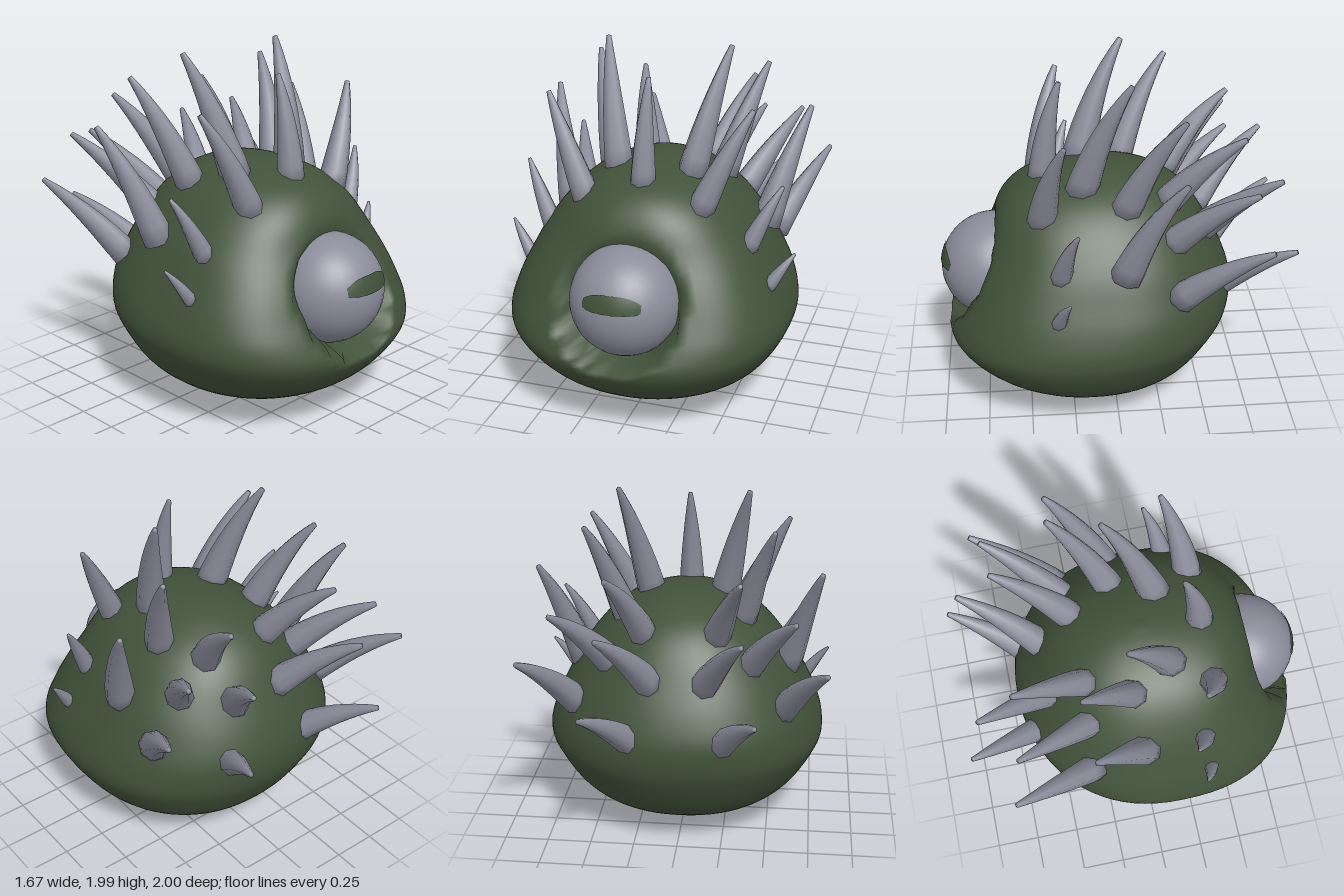
import * as THREE from 'three';
import { mergeVertices } from 'three/addons/utils/BufferGeometryUtils.js';

const green = new THREE.MeshStandardMaterial({ color: 0x42523a });
green.name = 'mossGreen';
const grey = new THREE.MeshStandardMaterial({ color: 0x8b8d9b });
grey.name = 'slateGrey';

const EYE = new THREE.Vector3(0, 0.757, 0.688);
const EYE_R = 0.308;

function part(name, geometry, material) {
  const mesh = new THREE.Mesh(geometry, material);
  mesh.name = name;
  return mesh;
}

// Body: stacked rounded rings, each [height, half width, front z, back z, front squareness]
function bodyGeometry() {
  const profile = [
    [0.005, 0, 0.17, 0.17, 2], [0.03, 0.19, 0.36, -0.05, 2], [0.08, 0.38, 0.54, -0.24, 2],
    [0.16, 0.55, 0.71, -0.41, 2.05], [0.27, 0.68, 0.86, -0.53, 2.15],
    [0.43, 0.78, 0.965, -0.63, 2.35], [0.55, 0.81, 0.93, -0.68, 2.6],
    [0.7, 0.77, 0.85, -0.69, 2.8], [0.85, 0.7, 0.78, -0.64, 2.8], [1.0, 0.62, 0.71, -0.56, 2.6],
    [1.16, 0.5, 0.65, -0.46, 2.4], [1.27, 0.38, 0.56, -0.35, 2.2], [1.34, 0.25, 0.42, -0.22, 2],
    [1.38, 0.12, 0.23, -0.09, 2], [1.395, 0, 0.06, 0.06, 2],
  ];
  const spline = (col) => new THREE.CatmullRomCurve3(
    profile.map((p) => new THREE.Vector3(p[0], p[1], p[col])), false, 'catmullrom', 0.5);
  const front = spline(2), back = spline(3), square = spline(4);
  const rings = 56, sides = 80;
  const pos = [], index = [];
  for (let i = 0; i <= rings; i++) {
    const f = front.getPoint(i / rings), b = back.getPoint(i / rings);
    const y = f.x, w = Math.max(0, f.y), mid = (f.z + b.z) / 2, depth = (f.z - b.z) / 2;
    const frontPower = 2 / square.getPoint(i / rings).z;
    for (let j = 0; j < sides; j++) {
      const a = (j / sides) * Math.PI * 2, c = Math.cos(a), s = Math.sin(a);
      const power = s > 0 ? frontPower : 2 / 2.15;
      const x = w * Math.sign(c) * Math.abs(c) ** power;
      let z = mid + depth * Math.sign(s) * Math.abs(s) ** power;
      // Eye socket pressed into the face
      if (z > 0.3) {
        const keep = THREE.MathUtils.smoothstep(Math.hypot(x, y - 0.77), 0.28, 0.345);
        z = THREE.MathUtils.lerp(Math.min(z, 0.66), z, keep);
      }
      pos.push(x, y, z);
      if (i < rings) {
        const k = (j + 1) % sides, r = i * sides, u = r + sides;
        index.push(r + j, u + j, r + k, r + k, u + j, u + k);
      }
    }
  }
  let g = new THREE.BufferGeometry();
  g.setAttribute('position', new THREE.Float32BufferAttribute(pos, 3));
  g.setIndex(index);
  g = mergeVertices(g, 1e-4);
  g.computeVertexNormals();
  return g;
}

// Pupil: a thin patch wrapped onto the front of the eye
function pupilGeometry() {
  const g = new THREE.PlaneGeometry(2, 1, 20, 6), p = g.attributes.position;
  for (let i = 0; i < p.count; i++) {
    const u = p.getX(i), v = p.getY(i) + 0.5;
    const x = 0.011 + u * 0.158, low = 0.805 + 0.01 * u ** 8, high = 0.902 - 0.045 * Math.abs(u) ** 3;
    const y = THREE.MathUtils.lerp(low, high, v);
    const r = EYE_R + 0.005;
    p.setXYZ(i, x, y, EYE.z + Math.sqrt(r * r - x * x - (y - EYE.y) ** 2));
  }
  g.computeVertexNormals();
  return g;
}

// Spike: a tapered cylinder bent along a curve from base to tip
function spikeGeometry(base, tip, radius) {
  const b = new THREE.Vector3(...base), t = new THREE.Vector3(...tip);
  const dir = t.clone().sub(b);
  const bow = dir.length() * 0.06;
  const control = b.clone().lerp(t, 0.5).add(new THREE.Vector3(0, bow, bow));
  b.addScaledVector(dir.clone().normalize(), -0.045);
  const curve = new THREE.QuadraticBezierCurve3(b, control, t);
  const up = new THREE.Vector3(0, 1, 0), q = new THREE.Quaternion();
  let g = new THREE.CylinderGeometry(1, 1, 1, 8, 8);
  g.deleteAttribute('uv');
  g.deleteAttribute('normal');
  g = mergeVertices(g);
  const p = g.attributes.position, v = new THREE.Vector3();
  for (let i = 0; i < p.count; i++) {
    const s = p.getY(i) + 0.5;
    const r = radius * (1 - 0.83 * s ** 1.25);
    q.setFromUnitVectors(up, curve.getTangent(s));
    v.set(p.getX(i) * r, 0, p.getZ(i) * r * 1.1).applyQuaternion(q).add(curve.getPoint(s));
    p.setXYZ(i, v.x, v.y, v.z);
  }
  g.computeVertexNormals();
  return g;
}

export function createModel() {
  const model = new THREE.Group();
  model.name = 'spikyCreature';
  model.add(part('body', bodyGeometry(), green));

  const eye = part('eye', new THREE.SphereGeometry(EYE_R, 32, 24), grey);
  eye.position.copy(EYE);
  model.add(eye, part('pupil', pupilGeometry(), green));

  // Spikes on the left side: base, tip, base radius; mirrored to the right
  const spikes = [
    [[0.34, 1.23, 0.4], [0.58, 1.75, 0.29], 0.078],
    [[0.59, 1.01, 0.31], [0.74, 1.32, 0.23], 0.056],
    [[0.72, 0.8, 0.33], [0.83, 0.96, 0.28], 0.04],
    [[0.22, 1.35, 0.17], [0.36, 1.99, -0.08], 0.086],
    [[0.34, 1.28, -0.07], [0.51, 1.84, -0.35], 0.083],
    [[0.6, 1.02, -0.05], [0.77, 1.61, -0.33], 0.086],
    [[0.21, 1.25, -0.32], [0.35, 1.66, -0.7], 0.082],
    [[0.4, 1.08, -0.33], [0.64, 1.47, -0.73], 0.082],
    [[0.6, 0.85, -0.36], [0.81, 1.22, -0.79], 0.08],
    [[0.16, 1.03, -0.51], [0.37, 1.41, -0.91], 0.082],
    [[0.26, 0.72, -0.61], [0.45, 1.01, -1.0], 0.076],
  ];
  const group = new THREE.Group();
  group.name = 'spikes';
  group.add(part('centreSpike', spikeGeometry([0, 1.34, 0.39], [0, 1.88, 0.29], 0.074), grey));
  spikes.forEach(([b, t, r], i) => {
    for (const side of [1, -1]) {
      const name = (side > 0 ? 'leftSpike' : 'rightSpike') + (i + 1);
      const flip = ([x, y, z]) => [x * side, y, z];
      group.add(part(name, spikeGeometry(flip(b), flip(t), r), grey));
    }
  });
  model.add(group);
  return model;
}
